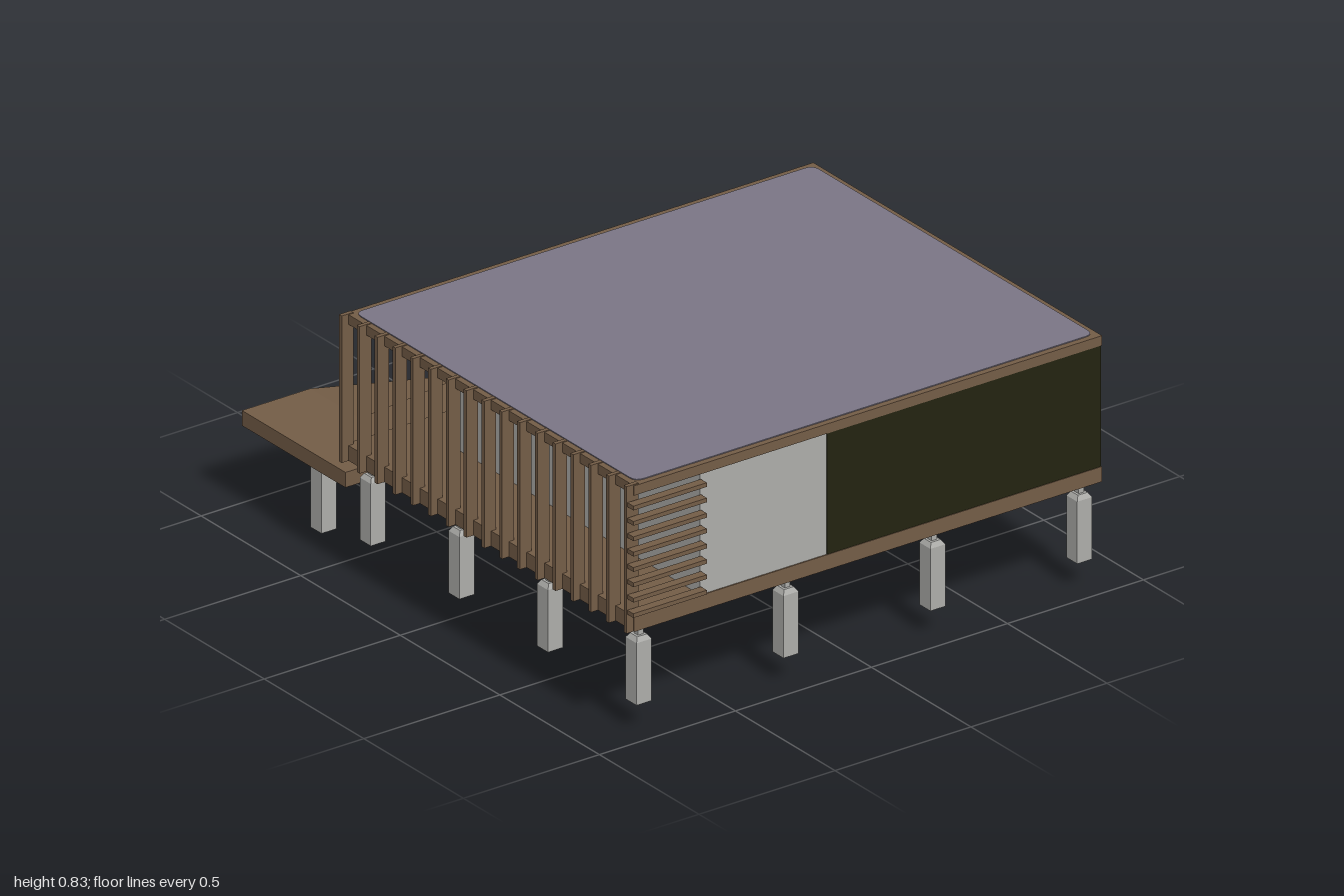
import * as THREE from 'three';
import { toCreasedNormals } from 'three/addons/utils/BufferGeometryUtils.js';

const mat = (name, color) => {
  const m = new THREE.MeshStandardMaterial({ color });
  m.name = name;
  return m;
};

export function createModel() {
  const model = new THREE.Group();
  model.name = 'pavilionHouse';
  const timber = mat('timber', 0x735c46);
  const slate = mat('slate', 0x7a7585);
  const concrete = mat('concrete', 0xacaca9);
  const darkCladding = mat('darkCladding', 0x232310);

  const add = (name, geometry, material, parent = model) => {
    const mesh = new THREE.Mesh(geometry, material);
    mesh.name = name;
    parent.add(mesh);
    return mesh;
  };
  // Box given by its extents on each axis
  const box = (name, material, [x0, x1], [y0, y1], [z0, z1], parent) => {
    const mesh = add(name, new THREE.BoxGeometry(x1 - x0, y1 - y0, z1 - z0), material, parent);
    mesh.position.set((x0 + x1) / 2, (y0 + y1) / 2, (z0 + z1) / 2);
    return mesh;
  };
  const group = (name) => {
    const g = new THREE.Group();
    g.name = name;
    model.add(g);
    return g;
  };

  // Deck and its landing beside the head of the ramp
  box('deck', timber, [-0.85, 0.87], [0.35, 0.4], [-0.48, 0.97]);
  box('deckLanding', timber, [0.62, 0.87], [0.35, 0.4], [-0.75, -0.48]);

  // Switchback ramp: side outlines in x, y extruded along z
  const slab = (name, points, z0, z1) => {
    const shape = new THREE.Shape(points.map(([x, y]) => new THREE.Vector2(x, y)));
    const geometry = new THREE.ExtrudeGeometry(shape, { depth: z1 - z0, bevelEnabled: false });
    add(name, geometry.translate(0, 0, z0), timber);
  };
  slab('upperRamp', [[-0.6, 0.255], [0.62, 0.35], [0.62, 0.4], [-0.6, 0.305]], -0.75, -0.48);
  box('rampLanding', timber, [-0.85, -0.6], [0.255, 0.305], [-1, -0.48]);
  slab('lowerRamp', [[-0.6, 0.255], [0.05, 0.12], [0.05, 0.17], [-0.6, 0.305]], -1, -0.755);

  // Enclosed rooms
  box('darkRoom', darkCladding, [-0.14, 0.868], [0.4, 0.8], [-0.12, 0.968]);
  box('paleRoom', concrete, [-0.605, -0.14], [0.4, 0.8], [-0.26, 0.966]);

  // Row of panes on the back wall
  const panes = group('backPanes');
  for (let i = 0; i < 4; i++) {
    const x = 0.72 - i * 0.215;
    box('pane', concrete, [x - 0.2, x], [0.415, 0.69], [-0.125, -0.119], panes);
  }

  // Roof slab with a thin round-cornered covering
  box('roof', timber, [-0.85, 0.87], [0.8, 0.832], [-0.48, 0.97]);
  const w = 0.842, d = 0.705, r = 0.03;
  const cover = new THREE.Shape();
  cover.moveTo(-w + r, -d);
  cover.lineTo(w - r, -d).quadraticCurveTo(w, -d, w, -d + r);
  cover.lineTo(w, d - r).quadraticCurveTo(w, d, w - r, d);
  cover.lineTo(-w + r, d).quadraticCurveTo(-w, d, -w, d - r);
  cover.lineTo(-w, -d + r).quadraticCurveTo(-w, -d, -w + r, -d);
  const coverGeometry = new THREE.ExtrudeGeometry(cover, { depth: 0.004, bevelEnabled: false, curveSegments: 4 });
  coverGeometry.rotateX(-Math.PI / 2).translate(0.012, 0.831, 0.245);
  add('roofCovering', coverGeometry, slate);

  // Upright slats along the right side
  const uprights = group('sideSlats');
  for (let i = 0; i < 17; i++) {
    const z = -0.471 + i * 0.0894;
    box('uprightSlat', timber, [-0.875, -0.832], [0.35, 0.835], [z - 0.007, z + 0.007], uprights);
  }

  // Level slats across the open front corner
  const levels = group('frontSlats');
  for (let i = 0; i < 8; i++) {
    const y = 0.422 + i * 0.0507;
    box('levelSlat', timber, [-0.875, -0.605], [y - 0.007, y + 0.007], [0.97, 1], levels);
  }

  // Piers: square block, chamfered shoulder and narrow stem
  const piers = group('piers');
  const shoulder = toCreasedNormals(
    new THREE.CylinderGeometry(0.018, 0.0275, 0.015, 4).scale(Math.SQRT2, 1, Math.SQRT2).rotateY(Math.PI / 4), 0.3);
  const pier = (x, z, y) => {
    const g = new THREE.Group();
    g.name = 'pier';
    g.position.set(x, y, z);
    piers.add(g);
    box('pierBlock', concrete, [-0.0275, 0.0275], [0, 0.205], [-0.0275, 0.0275], g);
    add('pierShoulder', shoulder, concrete, g).position.y = 0.2125;
    box('pierStem', concrete, [-0.01, 0.01], [0.22, 0.266], [-0.01, 0.01], g);
  };
  for (const x of [-0.79, -0.25, 0.29, 0.83])
    for (const z of [0.91, 0.465, 0.02, -0.425]) pier(x, z, 0.085);
  pier(0.83, -0.72, 0.085);
  pier(-0.755, -0.72, 0);

  return model;
}
